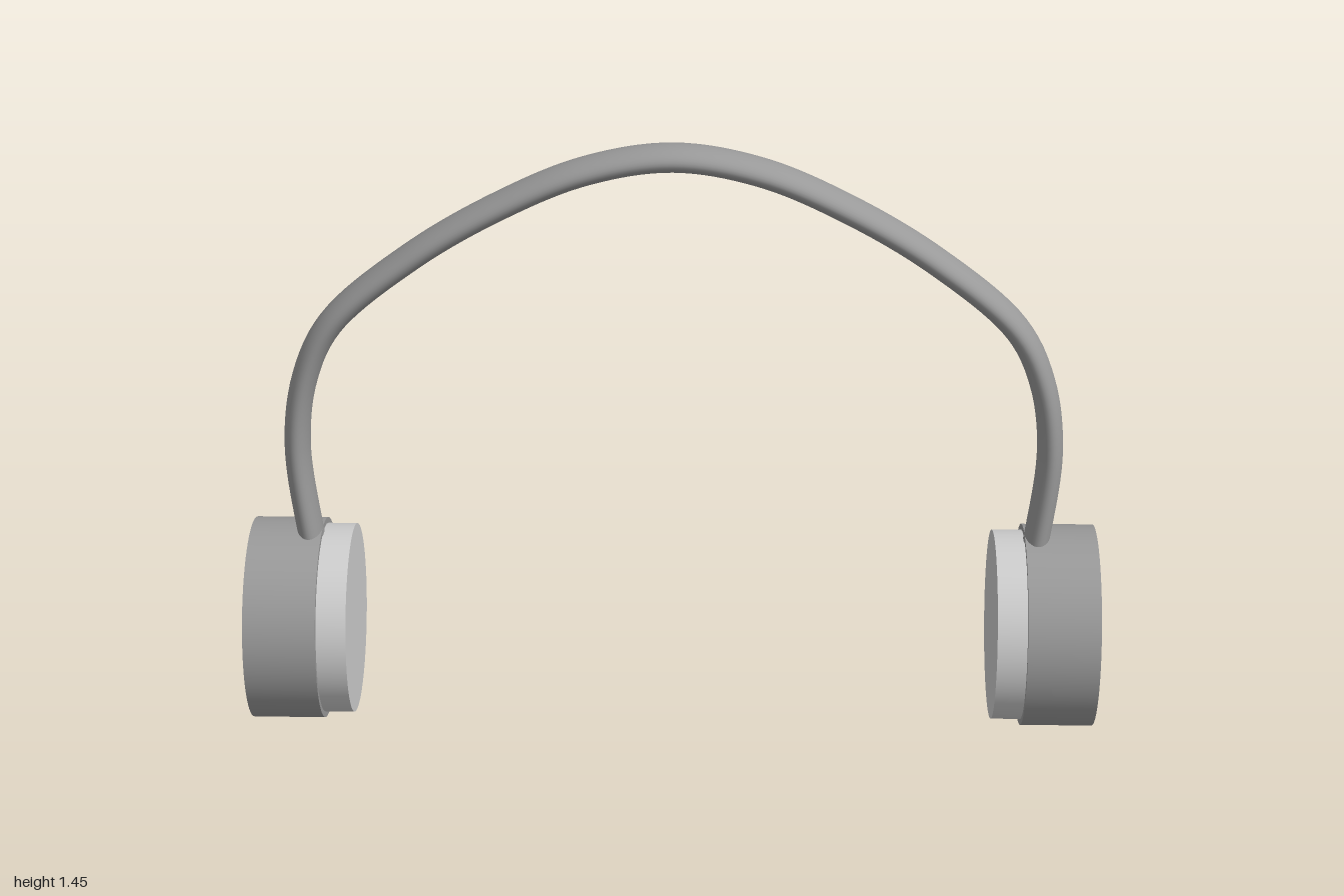
import * as THREE from 'three';

export function createModel() {
  const model = new THREE.Group();
  model.name = 'headphones';
  const shellGrey = new THREE.MeshStandardMaterial({ color: 0x999999 });
  shellGrey.name = 'shell grey';
  const cushionGrey = new THREE.MeshStandardMaterial({ color: 0xcccccc });
  cushionGrey.name = 'cushion light grey';

  // Headband: a planar tube widened along z into an oval section
  const half = [[0.84, 0.36], [0.86, 0.48], [0.88, 0.7], [0.855, 0.87], [0.79, 1.005],
    [0.6, 1.17], [0.4, 1.293], [0.2, 1.381]];
  const points = [
    ...half.map(([x, y]) => new THREE.Vector3(-x, y, 0)),
    new THREE.Vector3(0, 1.415, 0),
    ...half.slice().reverse().map(([x, y]) => new THREE.Vector3(x, y, 0)),
  ];
  const bandGeometry = new THREE.TubeGeometry(new THREE.CatmullRomCurve3(points), 128, 0.03, 32);
  bandGeometry.scale(1, 1, 0.056 / 0.03);
  const band = new THREE.Mesh(bandGeometry, shellGrey);
  band.name = 'headband';
  model.add(band);

  // Disc lying along x between two distances from the middle
  const disc = (name, radius, inner, outer, side, material) => {
    const geometry = new THREE.CylinderGeometry(radius, radius, outer - inner, 64);
    geometry.rotateZ(Math.PI / 2);
    const mesh = new THREE.Mesh(geometry, material);
    mesh.position.set(side * (inner + outer) / 2, 0.24, 0);
    mesh.name = name;
    return mesh;
  };

  // Ear cups: outer shell and the slightly smaller cushion facing inwards
  for (const [side, label] of [[1, 'left'], [-1, 'right']]) {
    const cup = new THREE.Group();
    cup.name = label + 'EarCup';
    cup.add(disc(label + 'Shell', 0.24, 0.83, 1, side, shellGrey));
    cup.add(disc(label + 'Cushion', 0.226, 0.76, 0.84, side, cushionGrey));
    model.add(cup);
  }
  return model;
}
